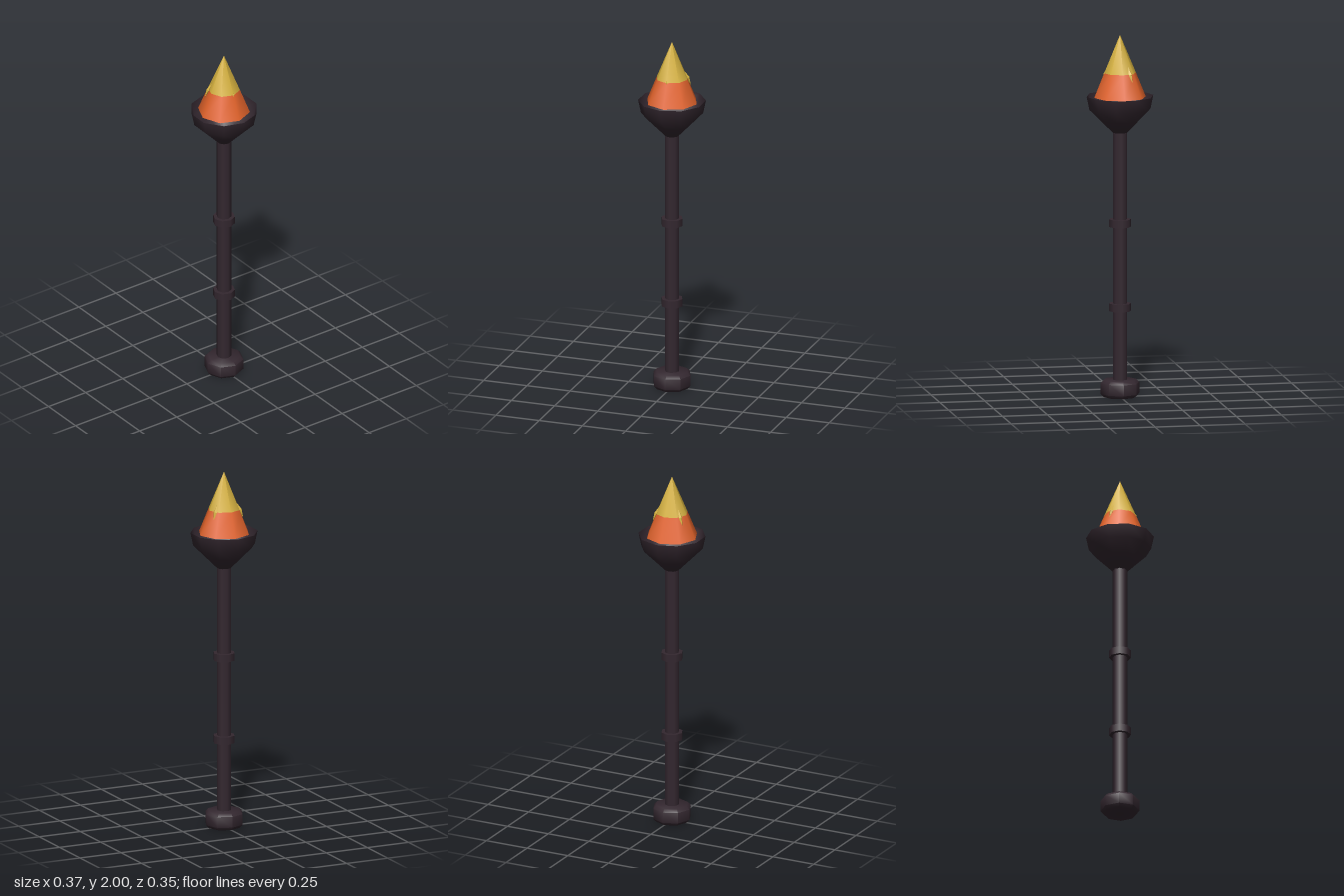
import * as THREE from 'three';
import { toCreasedNormals } from 'three/addons/utils/BufferGeometryUtils.js';

export function createModel() {
  const group = new THREE.Group();
  const darkIron = new THREE.MeshStandardMaterial({ color: 0x33272f, side: THREE.DoubleSide });
  darkIron.name = 'dark iron';
  const orange = new THREE.MeshStandardMaterial({ color: 0xe0622a });
  orange.name = 'flame orange';
  const yellow = new THREE.MeshStandardMaterial({ color: 0xd4b03e });
  yellow.name = 'flame yellow';

  const add = (name, geometry, material, y = 0) => {
    const mesh = new THREE.Mesh(geometry, material);
    mesh.name = name;
    mesh.position.y = y;
    group.add(mesh);
    return mesh;
  };
  const lathe = (points, sides) =>
    new THREE.LatheGeometry(points.map(([r, y]) => new THREE.Vector2(r, y)), sides);

  // Chamfered foot
  add('pommel', toCreasedNormals(lathe([
    [0, 0], [0.09, 0], [0.107, 0.018], [0.107, 0.078], [0.09, 0.095], [0, 0.095],
  ], 8), 0.9), darkIron);

  // Shaft with two collars
  add('shaft', new THREE.CylinderGeometry(0.04, 0.04, 1.4, 8), darkIron, 0.78);
  for (const [name, y] of [['lowerCollar', 0.495], ['upperCollar', 0.96]]) {
    add(name, new THREE.CylinderGeometry(0.06, 0.06, 0.042, 8), darkIron, y);
  }

  // Open ten-sided bowl
  const bowl = add('bowl', lathe([
    [0, 1.46], [0.04, 1.46], [0.105, 1.525], [0.17, 1.59], [0.185, 1.662],
  ], 10), darkIron);
  bowl.rotation.y = Math.PI / 2;

  // Two-tone flame cone
  add('flameBase', new THREE.CylinderGeometry(0.088, 0.143, 0.135, 8), orange, 1.7225);
  add('flameTip', new THREE.ConeGeometry(0.088, 0.21, 8, 1, true), yellow, 1.895);

  // Three slim sparks lying against the flame
  for (let i = 0; i < 3; i++) {
    const holder = new THREE.Group();
    holder.name = 'sparkHolder' + (i + 1);
    holder.rotation.y = (i * Math.PI * 2) / 3;
    const geometry = new THREE.OctahedronGeometry(1);
    geometry.scale(0.011, 0.045, 0.011);
    const spark = new THREE.Mesh(geometry, yellow);
    spark.name = 'spark';
    spark.position.set(i === 0 ? 0.08 : 0.086, 1.787, 0);
    spark.rotation.z = i === 0 ? 0.32 : 0.42;
    holder.add(spark);
    group.add(holder);
  }
  return group;
}
